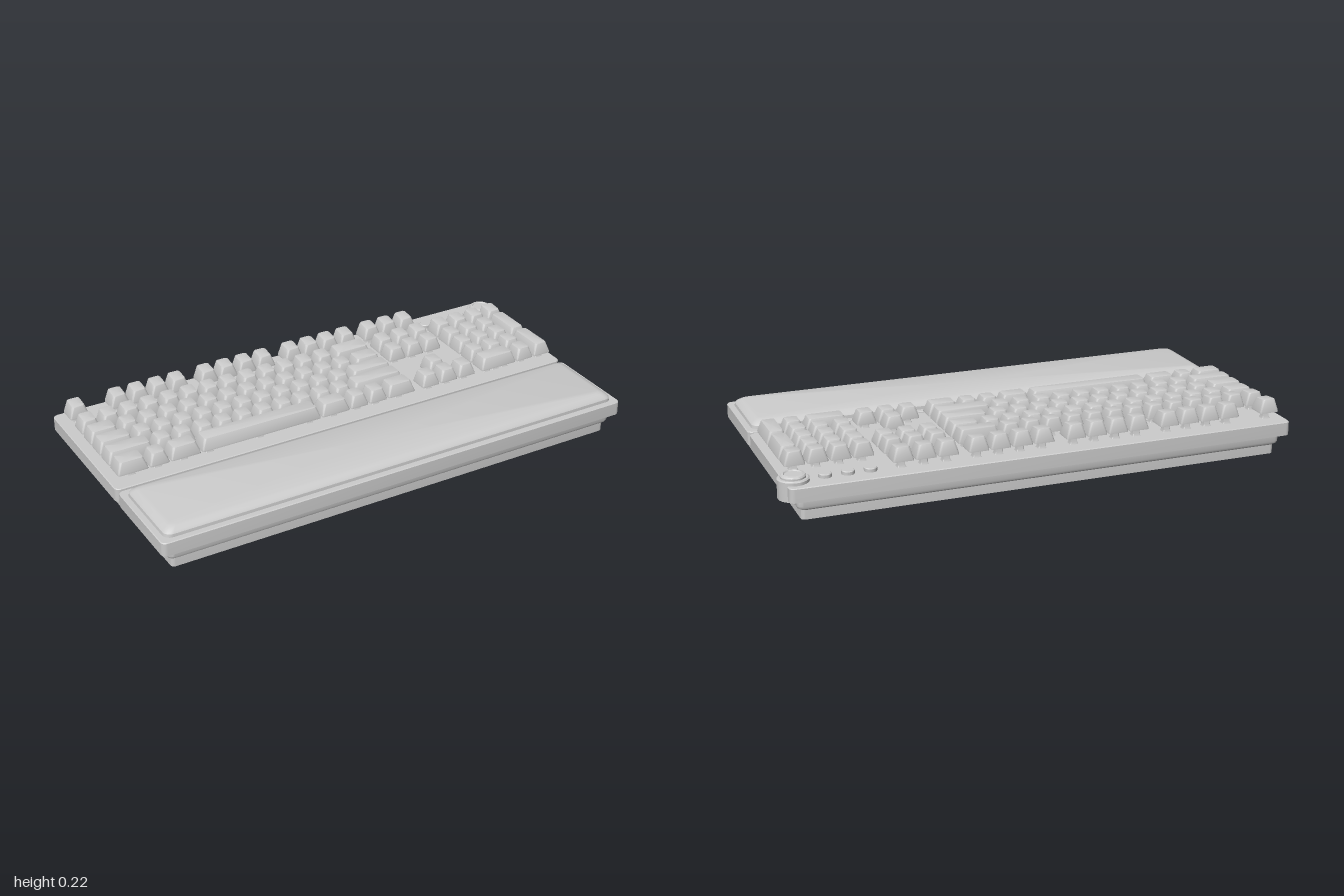
import * as THREE from 'three';
import { toCreasedNormals } from 'three/addons/utils/BufferGeometryUtils.js';

const material = new THREE.MeshStandardMaterial({ color: 0xcccccc });
const UNIT = 0.085, GAP = 0.008, DECK = 0.135, KNOB_Z = -0.425;

// Outline of a rounded rectangle in the xz plane, four corner arcs
function roundedRect(w, d, r, steps = 4) {
  const points = [];
  for (let corner = 0; corner < 4; corner++) {
    const sx = corner === 0 || corner === 3 ? 1 : -1;
    const sz = corner < 2 ? 1 : -1;
    for (let i = 0; i <= steps; i++) {
      const a = (corner + i / steps) * Math.PI / 2;
      points.push([sx * (w / 2 - r) + r * Math.cos(a), sz * (d / 2 - r) + r * Math.sin(a)]);
    }
  }
  return points;
}

// Closed solid through stacked rounded rectangles; dish lowers the middle of the top
function loft(rings, dish = 0) {
  const pos = [], index = [];
  let n = 0;
  for (const { w, d, r, y, z = 0, tilt = 0 } of rings) {
    const outline = roundedRect(w, d, r);
    n = outline.length;
    for (const [px, pz] of outline) pos.push(px, y - tilt * pz, pz + z);
  }
  const last = (rings.length - 1) * n, bottom = rings.length * n, top = bottom + 1;
  const lastRing = rings[rings.length - 1];
  pos.push(0, rings[0].y, rings[0].z || 0, 0, lastRing.y - dish, lastRing.z || 0);
  for (let i = 0; i < n; i++) {
    const j = (i + 1) % n;
    for (let k = 0; k < last; k += n) {
      index.push(k + i, k + n + i, k + j, k + j, k + n + i, k + n + j);
    }
    index.push(bottom, i, j, top, last + j, last + i);
  }
  const geometry = new THREE.BufferGeometry();
  geometry.setAttribute('position', new THREE.Float32BufferAttribute(pos, 3));
  geometry.setIndex(index);
  return toCreasedNormals(geometry, 0.5);
}

function add(parent, name, geometry, x = 0, y = 0, z = 0) {
  const mesh = new THREE.Mesh(geometry, material);
  mesh.name = name;
  mesh.position.set(x, y, z);
  parent.add(mesh);
  return mesh;
}

// Stepped shell: narrow foot, wider neck, overhanging plate
function addCase(parent, name, z, depth) {
  const group = new THREE.Group();
  group.name = name;
  group.position.set(-0.0125, 0, z);
  const w = 1.975, d = depth;
  add(group, name + 'Base', loft([
    { w: w - 0.095, d: d - 0.078, r: 0.015, y: 0 },
    { w: w - 0.095, d: d - 0.078, r: 0.015, y: 0.036 },
    { w: w - 0.089, d: d - 0.072, r: 0.017, y: 0.04 },
    { w: w - 0.072, d: d - 0.055, r: 0.02, y: 0.044 },
    { w: w - 0.064, d: d - 0.047, r: 0.022, y: 0.053 },
    { w: w - 0.064, d: d - 0.047, r: 0.022, y: 0.082 },
  ]));
  add(group, name + 'Plate', loft([
    { w, d, r: 0.02, y: 0.081 },
    { w, d, r: 0.02, y: 0.132 },
    { w: w - 0.006, d: d - 0.006, r: 0.018, y: DECK },
  ]));
  parent.add(group);
  return group;
}

// Row settings: depth position, skirt height, cap height, backward tilt, front and back inset
const rows = [
  { z: -0.425, low: 0.165, high: 0.216, tilt: 0.1, front: 0.008, back: 0.005 },
  { z: -0.312, low: 0.16, high: 0.21, tilt: 0.08, front: 0.008, back: 0.004 },
  { z: -0.2275, low: 0.157, high: 0.205, tilt: 0.01, front: 0.009, back: 0.003 },
  { z: -0.143, low: 0.157, high: 0.205, tilt: 0, front: 0.009, back: 0.003 },
  { z: -0.0585, low: 0.157, high: 0.205, tilt: 0, front: 0.01, back: 0.003 },
  { z: 0.026, low: 0.157, high: 0.205, tilt: 0, front: 0.01, back: 0.003 },
];

const stemGeometry = loft([
  { w: 0.034, d: 0.034, r: 0.003, y: DECK - 0.002 },
  { w: 0.026, d: 0.026, r: 0.003, y: 0.143 },
  { w: 0.026, d: 0.026, r: 0.003, y: 0.175 },
]);

const capCache = new Map();
function keycap(row, units, span) {
  const id = [row, units, span].join();
  if (!capCache.has(id)) {
    const { low, high, tilt, front, back } = rows[row];
    const w = units * UNIT - GAP, d = span * UNIT - GAP;
    const topD = d - front - back, shift = (back - front) / 2;
    capCache.set(id, loft([
      { w, d, r: 0.006, y: low },
      { w, d, r: 0.006, y: low + 0.006 },
      { w: w - 0.024, d: topD, r: 0.01, y: high - 0.004, z: shift, tilt },
      { w: w - 0.027, d: topD - 0.003, r: 0.01, y: high - 0.001, z: shift, tilt },
      { w: w - 0.033, d: topD - 0.009, r: 0.008, y: high, z: shift, tilt },
    ], 0.002));
  }
  return capCache.get(id);
}

// One key with its switch stems; start and units are in key widths
function addKey(parent, row, start, units = 1, span = 1) {
  const key = new THREE.Group();
  key.name = 'key';
  key.position.set(-0.972 + (start + units / 2) * UNIT, 0, rows[row].z + (span - 1) * UNIT / 2);
  add(key, 'keycap', keycap(row, units, span));
  const half = units >= 2 ? (units - 1) * UNIT / 2 : 0;
  for (const x of half ? [-half, 0, half] : [0]) {
    for (const z of span > 1 ? [-UNIT / 2, UNIT / 2] : [0]) add(key, 'switchStem', stemGeometry, x, 0, z);
  }
  parent.add(key);
}

export function createModel() {
  const model = new THREE.Group();
  model.name = 'keyboardWithWristRest';

  addCase(model, 'keyboardCase', -0.1985, 0.617);
  const rest = addCase(model, 'wristRest', 0.3145, 0.385);

  // Soft cushion on the wrist rest
  add(rest, 'cushion', loft([
    { w: 1.93, d: 0.338, r: 0.03, y: DECK - 0.002 },
    { w: 1.925, d: 0.336, r: 0.03, y: 0.147 },
    { w: 1.912, d: 0.324, r: 0.028, y: 0.155 },
    { w: 1.88, d: 0.296, r: 0.024, y: 0.164 },
    { w: 1.85, d: 0.276, r: 0.02, y: 0.168 },
  ]));

  const keys = new THREE.Group();
  keys.name = 'keys';
  model.add(keys);

  // Function row
  addKey(keys, 0, 0);
  for (const start of [2, 6.5, 11]) for (let i = 0; i < 4; i++) addKey(keys, 0, start + i);

  // Main block, widths from left to right
  const ones = (n) => Array(n).fill(1);
  const mainRows = [
    [...ones(13), 2],
    [1.5, ...ones(12), 1.5],
    [1.75, ...ones(11), 2.25],
    [2.25, ...ones(10), 2.75],
    [1.5, 1, 1.5, 6, 1.5, 1, 1, 1.5],
  ];
  mainRows.forEach((widths, i) => {
    let start = 0;
    for (const units of widths) {
      addKey(keys, i + 1, start, units);
      start += units;
    }
  });

  // Navigation and arrow keys
  const nav = 15.37;
  for (const row of [0, 1, 2, 5]) for (let i = 0; i < 3; i++) addKey(keys, row, nav + i);
  addKey(keys, 4, nav + 1);

  // Number pad
  const pad = 18.7;
  for (const row of [1, 2, 3, 4]) for (let i = 0; i < 3; i++) addKey(keys, row, pad + i);
  addKey(keys, 1, pad + 3);
  addKey(keys, 2, pad + 3, 1, 2);
  addKey(keys, 4, pad + 3, 1, 2);
  addKey(keys, 5, pad, 2);
  addKey(keys, 5, pad + 2);

  // Round media buttons and corner knob, turned from profiles
  const turned = (points, sides) => toCreasedNormals(
    new THREE.LatheGeometry(points.map(([r, y]) => new THREE.Vector2(r, y)), sides), 0.5);
  const button = turned([[0, 0.13], [0.024, 0.13], [0.024, 0.147], [0.021, 0.15], [0, 0.15]], 24);
  for (const x of [0.66, 0.743, 0.827]) add(model, 'mediaButton', button, x, 0, KNOB_Z);

  add(model, 'knobHousing', turned([
    [0, 0.074], [0.058, 0.074], [0.058, 0.146], [0.054, 0.15], [0, 0.15],
  ], 40), 0.942, 0, KNOB_Z);
  add(model, 'knob', turned([
    [0, 0.148], [0.046, 0.148], [0.046, 0.156], [0.042, 0.161], [0.034, 0.163],
    [0.031, 0.159], [0, 0.159],
  ], 40), 0.942, 0, KNOB_Z);

  return model;
}
